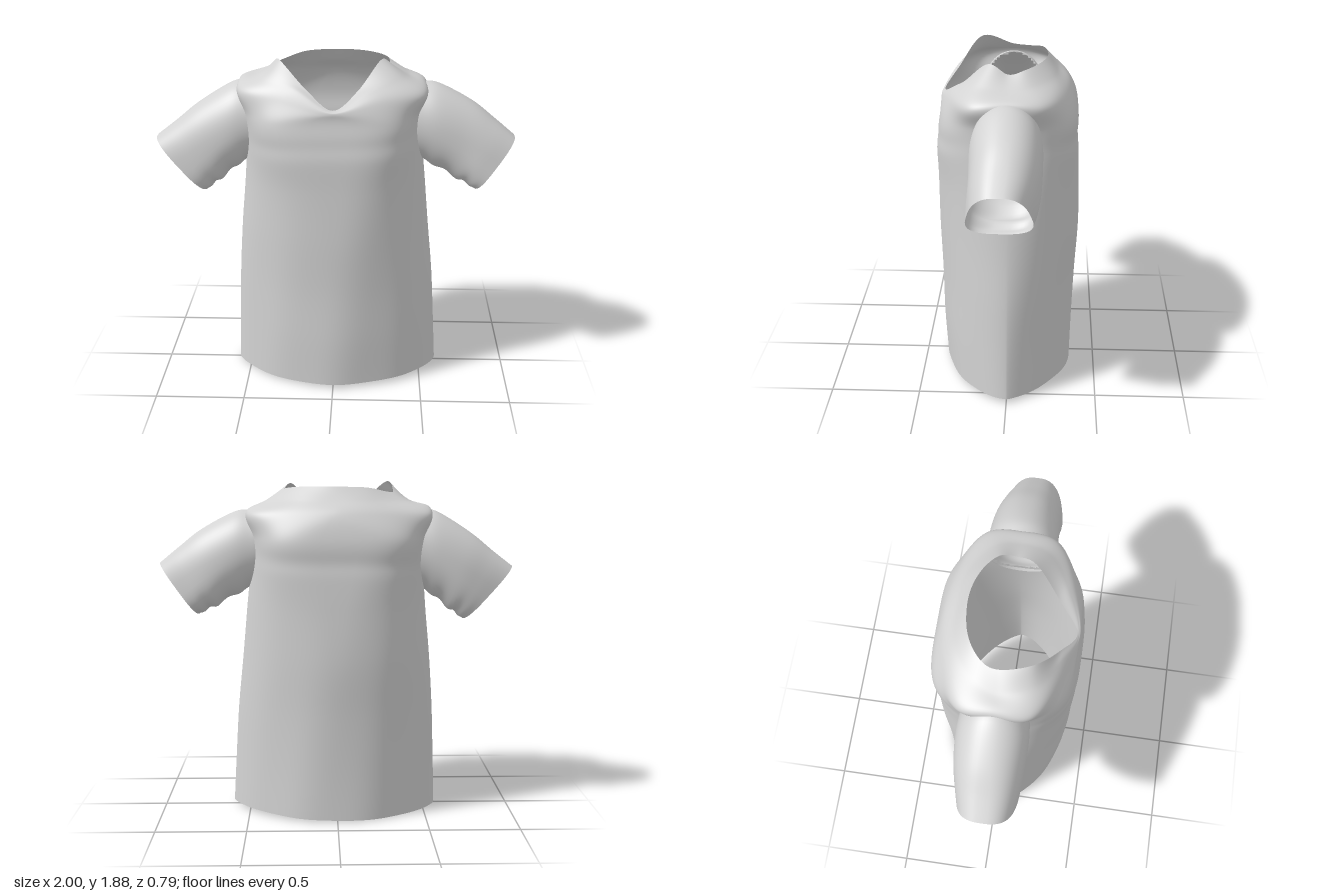
import * as THREE from 'three';

const fabric = new THREE.MeshStandardMaterial({ color: 0xd3d3d3, side: THREE.DoubleSide });
fabric.name = 'light grey fabric';

const V = (x, y, z) => new THREE.Vector3(x, y, z);
const curve = (points, closed) => new THREE.CatmullRomCurve3(points, closed, 'catmullrom', 0.5);
const power = (n, p) => Math.sign(n) * Math.abs(n) ** p;

// Open tube from a grid of columns (u, wrapping) and rows (v); skip() leaves holes
function loft(name, at, nu, nv, flip, skip = () => false) {
  const grid = [], index = [];
  for (let j = 0; j <= nv; j++)
    for (let i = 0; i < nu; i++) grid.push(at(i / nu, j / nv));
  for (let j = 0; j < nv; j++) {
    for (let i = 0; i < nu; i++) {
      const k = (i + 1) % nu;
      const a = j * nu + i, b = j * nu + k, c = a + nu, d = b + nu;
      const mid = V(0, 0, 0).add(grid[a]).add(grid[b]).add(grid[c]).add(grid[d]).multiplyScalar(0.25);
      if (skip(mid)) continue;
      if (flip) index.push(a, c, b, b, c, d);
      else index.push(a, b, c, b, d, c);
    }
  }
  const geometry = new THREE.BufferGeometry().setFromPoints(grid);
  geometry.setIndex(index);
  geometry.computeVertexNormals();
  const mesh = new THREE.Mesh(geometry, fabric);
  mesh.name = name;
  return mesh;
}

// Torso sections: height, half width, x centre, front depth, back depth, x power, z power.
// A z power above 1 pinches the sides into a seam; an x power below 1 squares them off.
const bodyRows = [
  [0.02, 0.587, 0.012, 0.37, 0.36, 1, 1.55],
  [0.3, 0.575, 0.009, 0.385, 0.365, 1, 1.45],
  [0.6, 0.56, 0.005, 0.39, 0.375, 1, 1.3],
  [0.9, 0.535, 0, 0.4, 0.39, 0.95, 1.15],
  [1.2, 0.507, 0, 0.4, 0.385, 0.78, 1.05],
  [1.42, 0.49, -0.005, 0.4, 0.378, 0.56, 1],
  [1.58, 0.5, -0.012, 0.377, 0.374, 0.52, 1],
];
// Shoulder, yoke and neckline rings, every 30 degrees from +x towards the front
const shoulder = [
  [0.505, 1.72, 0], [0.48, 1.7, 0.195], [0.285, 1.69, 0.31], [0, 1.635, 0.378],
  [-0.285, 1.69, 0.31], [-0.5, 1.71, 0.195], [-0.53, 1.735, 0], [-0.5, 1.71, -0.185],
  [-0.285, 1.71, -0.29], [0, 1.715, -0.335], [0.285, 1.71, -0.29], [0.475, 1.71, -0.185],
];
const yoke = [
  [0.4, 1.775, 0], [0.36, 1.785, 0.165], [0.21, 1.735, 0.28], [0, 1.648, 0.37],
  [-0.21, 1.745, 0.295], [-0.37, 1.79, 0.185], [-0.42, 1.775, 0], [-0.36, 1.785, -0.13],
  [-0.2, 1.79, -0.235], [0, 1.79, -0.26], [0.2, 1.79, -0.235], [0.36, 1.785, -0.13],
];
const neckline = [
  [0.3, 1.83, 0], [0.25, 1.87, 0.11], [0.13, 1.735, 0.25], [0, 1.655, 0.36],
  [-0.14, 1.745, 0.29], [-0.29, 1.88, 0.17], [-0.32, 1.83, 0], [-0.28, 1.83, -0.1],
  [-0.16, 1.855, -0.18], [0.02, 1.86, -0.205], [0.17, 1.86, -0.17], [0.28, 1.85, -0.09],
];
const upperRings = [shoulder, yoke, neckline].map(r => curve(r.map(p => V(...p)), true));

function bodyPoint([y, w, x, front, back, px, pz], a) {
  const c = Math.cos(a), s = Math.sin(a);
  const hem = y < 0.1 ? 0.012 * c + 0.006 * s : 0;
  // The front panel hangs fuller beside the left seam
  const pinch = s > 0 ? 1 + (pz - 1) * (1 - 0.6 * Math.max(0, c)) : pz;
  return V(x + w * power(c, px), y + hem, (s > 0 ? front : back) * power(s, pinch));
}

function makeTorso() {
  const nu = 144, nv = 100;
  const columns = Array.from({ length: nu }, (_, i) => {
    const a = (i / nu) * Math.PI * 2;
    return curve([
      ...bodyRows.map(row => bodyPoint(row, a)),
      ...upperRings.map(r => r.getPoint(i / nu)),
    ], false);
  });
  const at = (u, v) => {
    const p = columns[Math.round(u * nu) % nu].getPoint(v);
    // Soft drapes low down and a shallow crease across the chest
    const a = u * Math.PI * 2;
    const facing = Math.sin(a) ** 2;
    const drape = 0.005 * facing * Math.max(0, 1 - p.y / 1.5) * Math.sin(a * 9 + p.y * 2);
    const crease = 0.006 * facing * Math.exp(-(((p.y - 1.45 - 0.03 * Math.cos(a)) / 0.05) ** 2));
    const k = 1 + (drape - crease) / 0.45;
    return V(p.x * k, p.y, p.z * k);
  };
  const armhole = p => Math.abs(p.x) > 0.4 && ((p.y - 1.515) / 0.2) ** 2 + (p.z / 0.165) ** 2 < 1;
  return loft('torso', at, nu, nv, true, armhole);
}

// Sleeve sections: top x, top y, bottom x, bottom y, half depth, z centre, widening downwards, squareness
const leftSleeve = [
  [0.485, 1.73, 0.475, 1.3, 0.18, 0, 0, 1],
  [0.58, 1.715, 0.55, 1.26, 0.19, 0, 0.03, 0.95],
  [0.76, 1.62, 0.66, 1.2, 0.185, 0, 0.1, 0.85],
  [0.89, 1.52, 0.73, 1.165, 0.176, 0.01, 0.17, 0.76],
  [1.0, 1.43, 0.78, 1.14, 0.16, 0.022, 0.24, 0.7],
];
const rightSleeve = [
  [0.49, 1.735, 0.475, 1.29, 0.18, 0, 0, 1],
  [0.58, 1.712, 0.54, 1.25, 0.19, 0, 0.03, 0.95],
  [0.76, 1.6, 0.62, 1.185, 0.185, 0, 0.07, 0.85],
  [0.89, 1.495, 0.68, 1.14, 0.172, 0.005, 0.11, 0.76],
  [1.0, 1.41, 0.72, 1.11, 0.157, 0.01, 0.15, 0.7],
];

function makeSleeve(name, rows, side) {
  const nu = 56, nv = 24;
  const columns = Array.from({ length: nu }, (_, i) => {
    const t = (i / nu) * Math.PI * 2;
    return curve(rows.map(([tx, ty, bx, by, d, z, wide, square], j) => {
      const c = power(Math.cos(t), square), s = power(Math.sin(t), square);
      const m = (1 + c) / 2;
      const tuck = j === 0 ? 0.03 * s * s : 0; // follow the rounded torso
      return V(side * (bx + (tx - bx) * m - tuck), by + (ty - by) * m, z + d * s * (1 - wide * c));
    }), false);
  });
  const at = (u, v) => {
    const p = columns[Math.round(u * nu) % nu].getPoint(v);
    // Bunched folds under the arm
    const under = Math.max(0, -Math.cos(u * Math.PI * 2)) * Math.sin(v * Math.PI);
    p.y += 0.01 * under * Math.sin(v * 20);
    return p;
  };
  return loft(name, at, nu, nv, side < 0);
}

export function createModel() {
  const shirt = new THREE.Group();
  shirt.name = 'shirt';
  shirt.add(
    makeTorso(),
    makeSleeve('leftSleeve', leftSleeve, 1),
    makeSleeve('rightSleeve', rightSleeve, -1)
  );
  return shirt;
}
